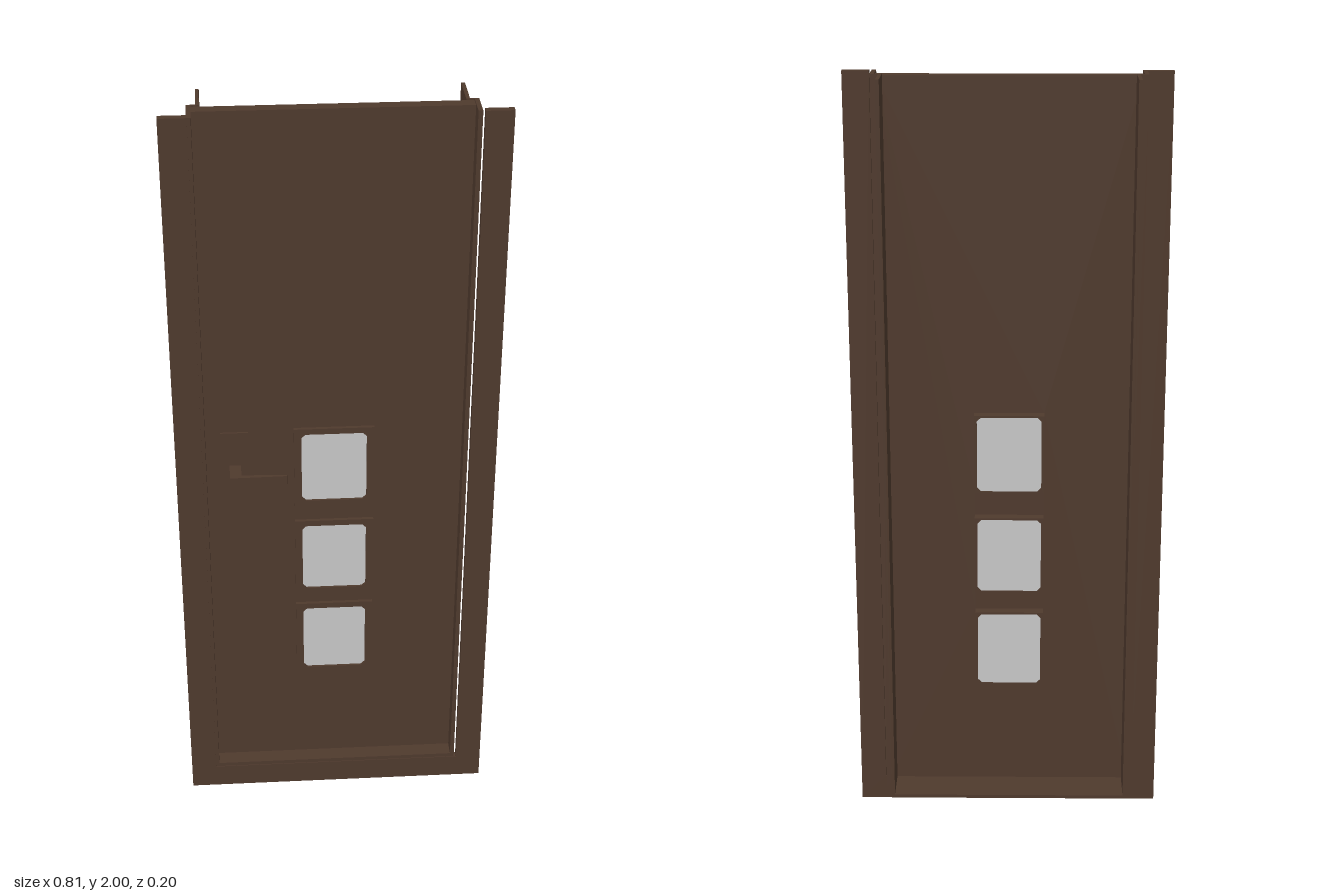
import * as THREE from 'three';

const CX = -0.004; // the opening sits slightly off centre
const WINDOWS = [1.032, 0.752, 0.484]; // window centre heights

function rectPath(PathType, cx, cy, w, h) {
  const x = w / 2, y = h / 2;
  const p = new PathType();
  p.moveTo(cx - x, cy - y);
  p.lineTo(cx + x, cy - y);
  p.lineTo(cx + x, cy + y);
  p.lineTo(cx - x, cy + y);
  p.closePath();
  return p;
}

// rectangle with clipped corners
function clippedRect(PathType, cx, cy, w, h, c) {
  const x = w / 2, y = h / 2;
  const pts = [[-x + c, -y], [x - c, -y], [x, -y + c], [x, y - c], [x - c, y], [-x + c, y], [-x, y - c], [-x, -y + c]];
  return new PathType(pts.map(([a, b]) => new THREE.Vector2(cx + a, cy + b)));
}

function slab(shape, z0, z1) {
  const g = new THREE.ExtrudeGeometry(shape, { depth: z1 - z0, bevelEnabled: false });
  g.translate(0, 0, z0);
  return g;
}

// U-shaped border, open at the top
function border(cx, outer, inner, yOut, yIn, z0, z1, top = 2) {
  const pts = [
    [-outer, top], [-outer, yOut], [outer, yOut], [outer, top],
    [inner, top], [inner, yIn], [-inner, yIn], [-inner, top],
  ];
  return slab(new THREE.Shape(pts.map(([x, y]) => new THREE.Vector2(cx + x, y))), z0, z1);
}

export function createModel() {
  const wood = new THREE.MeshStandardMaterial({ color: 0x4f3a2d });
  wood.name = 'darkBrown';
  const pane = new THREE.MeshStandardMaterial({ color: 0xc8c8c8 });
  pane.name = 'paleGlass';

  const model = new THREE.Group();
  model.name = 'door';
  const add = (name, geometry, material = wood, parent = model) => {
    const mesh = new THREE.Mesh(geometry, material);
    mesh.name = name;
    parent.add(mesh);
    return mesh;
  };

  // stepped frame: casing, front jamb, rebate and rear jamb
  const frame = new THREE.Group();
  frame.name = 'frame';
  model.add(frame);
  add('casing', border(0, 0.405, 0.338, 0, 0.067, 0.057, 0.075), wood, frame);
  add('frontJamb', border(CX, 0.336, 0.325, 0.067, 0.078, 0, 0.073), wood, frame);
  add('rebate', border(CX, 0.336, 0.306, 0.067, 0.098, -0.004, 0), wood, frame);
  add('rearJamb', border(CX, 0.315, 0.306, 0.089, 0.098, -0.1, -0.003), wood, frame);

  // door leaf: a thin sheet with a rim turned back along its edges
  const leaf = new THREE.Group();
  leaf.name = 'leaf';
  model.add(leaf);
  const sheet = rectPath(THREE.Shape, CX, 1.0375, 0.65, 1.919);
  for (const y of WINDOWS) sheet.holes.push(rectPath(THREE.Path, CX, y, 0.18, 0.21));
  add('leafSheet', slab(sheet, 0.027, 0.031), wood, leaf);
  add('leafRim', border(CX, 0.325, 0.321, 0.078, 0.082, 0.001, 0.028, 1.997), wood, leaf);
  const cap = new THREE.BoxGeometry(0.642, 0.004, 0.027);
  cap.translate(CX, 1.995, 0.0145);
  add('leafTopRim', cap, wood, leaf);

  // three windows, each with a front flange, a sleeve and a pane
  WINDOWS.forEach((y, i) => {
    const win = new THREE.Group();
    win.name = 'window' + (i + 1);
    model.add(win);
    const ring = (w, h, z0, z1) => {
      const s = rectPath(THREE.Shape, CX, y, w, h);
      s.holes.push(clippedRect(THREE.Path, CX, y, 0.166, 0.2, 0.01));
      return slab(s, z0, z1);
    };
    add('windowFlange', ring(0.204, 0.232, 0.031, 0.04), wood, win);
    add('windowSleeve', ring(0.18, 0.21, 0, 0.031), wood, win);
    add('windowPane', slab(clippedRect(THREE.Shape, CX, y, 0.166, 0.2, 0.01), 0.001, 0.034), pane, win);
  });

  // handle: back plate with a bent, tapering lever
  const handle = new THREE.Group();
  handle.name = 'handle';
  model.add(handle);
  const plate = new THREE.BoxGeometry(0.07, 0.16, 0.005);
  plate.translate(-0.256, 1.061, 0.0333);
  add('handlePlate', plate, wood, handle);
  const outline = [
    [-0.27, 0.033], [-0.241, 0.033], [-0.241, 0.083], [-0.13, 0.0875],
    [-0.125, 0.09], [-0.127, 0.0935], [-0.24, 0.0955], [-0.27, 0.0955],
  ];
  const lever = new THREE.ExtrudeGeometry(
    new THREE.Shape(outline.map(([x, z]) => new THREE.Vector2(x, z))),
    { depth: 0.025, bevelEnabled: false },
  );
  lever.rotateX(Math.PI / 2); // drawn in x and z, extruded downwards
  lever.translate(0, 1.045, 0);
  add('handleLever', lever, wood, handle);

  return model;
}
